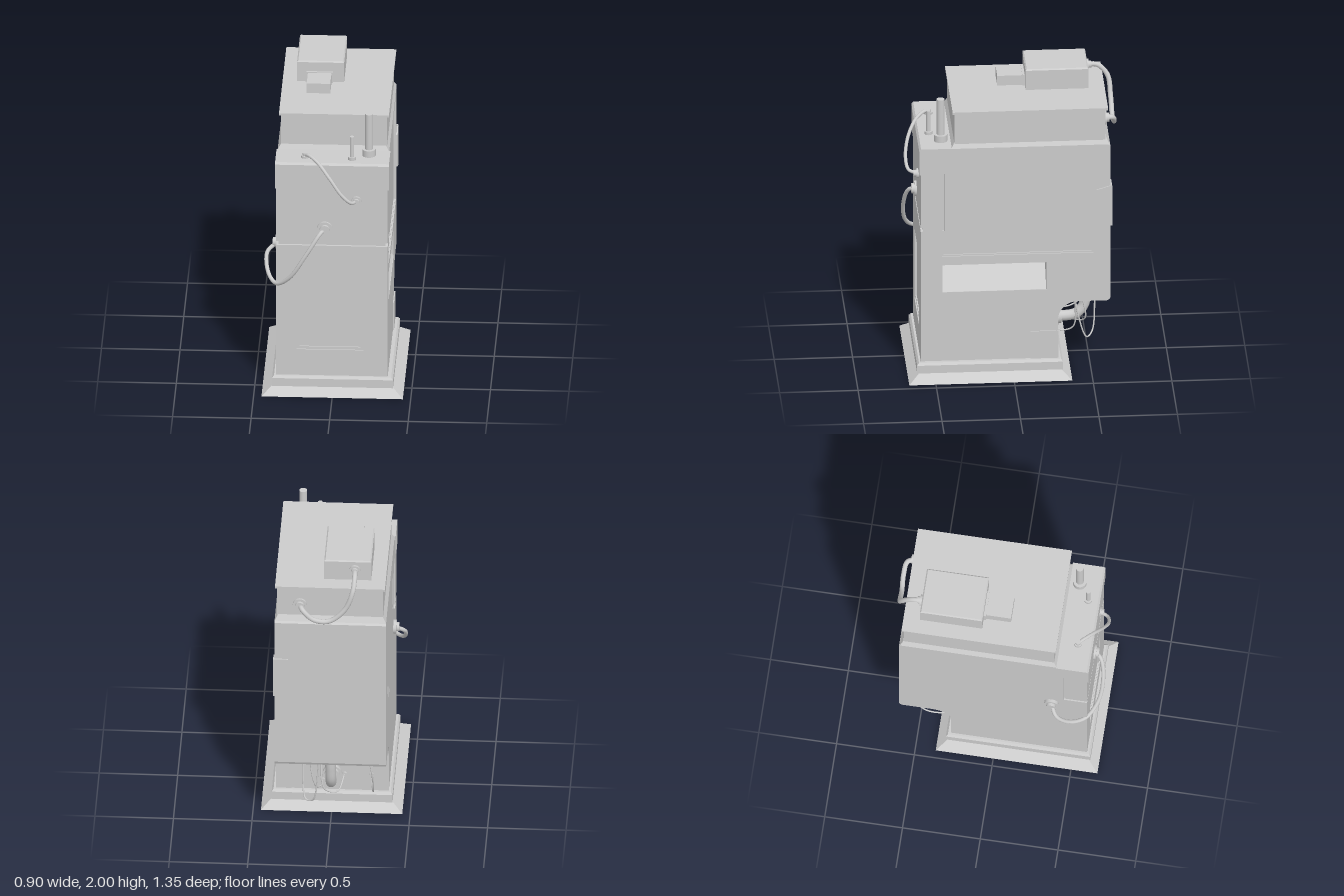
import * as THREE from 'three';

const mat = new THREE.MeshStandardMaterial({ color: 0xcccccc });

export function createModel() {
  const model = new THREE.Group();
  const add = (name, geo) => {
    const mesh = new THREE.Mesh(geo, mat);
    mesh.name = name;
    model.add(mesh);
    return mesh;
  };

  // Block from min/max corners; taper pulls the top edges inward
  const block = (name, [x0, x1], [y0, y1], [z0, z1], taper = 0) => {
    const g = new THREE.BoxGeometry(x1 - x0, y1 - y0, z1 - z0);
    const p = g.attributes.position;
    for (let i = 0; i < p.count; i++) {
      if (p.getY(i) > 0) {
        p.setX(i, p.getX(i) - Math.sign(p.getX(i)) * taper);
        p.setZ(i, p.getZ(i) - Math.sign(p.getZ(i)) * taper);
      }
    }
    g.computeVertexNormals();
    g.translate((x0 + x1) / 2, (y0 + y1) / 2, (z0 + z1) / 2);
    return add(name, g);
  };

  // Side profile of [z, y] points extruded across x, with optional holes
  const slab = (name, pts, x0, x1, holes = []) => {
    const vec = (list) => list.map(([z, y]) => new THREE.Vector2(-z, y));
    const shape = new THREE.Shape(vec(pts));
    holes.forEach((h) => shape.holes.push(new THREE.Path(vec(h))));
    const g = new THREE.ExtrudeGeometry(shape, { depth: x1 - x0, bevelEnabled: false });
    g.rotateY(Math.PI / 2).translate(x0, 0, 0);
    return add(name, g);
  };
  const rect = (a0, a1, b0, b1) => [[a0, b0], [a1, b0], [a1, b1], [a0, b1]];

  // Round rod between two points
  const rod = (name, r, from, to) => {
    const a = new THREE.Vector3(...from), b = new THREE.Vector3(...to);
    const dir = b.clone().sub(a);
    const mesh = add(name, new THREE.CylinderGeometry(r, r, dir.length(), 24));
    mesh.position.copy(a).add(b).multiplyScalar(0.5);
    mesh.quaternion.setFromUnitVectors(new THREE.Vector3(0, 1, 0), dir.normalize());
  };
  // Stepped cable socket standing on a surface
  const socket = (name, r, at, dir) => {
    const off = (d) => at.map((v, i) => v + dir[i] * d);
    rod(name + 'Flange', r, off(-0.005), off(0.014));
    rod(name + 'Collar', r * 0.65, off(0), off(0.032));
  };
  const cable = (name, r, pts) => {
    const curve = new THREE.CatmullRomCurve3(pts.map((p) => new THREE.Vector3(...p)));
    return add(name, new THREE.TubeGeometry(curve, 64, r, 12));
  };

  // Base: flared skirt and plinth
  block('skirt', [-0.45, 0.45], [0, 0.055], [-0.37, 0.67], 0.07);
  block('plinth', [-0.385, 0.385], [0.05, 0.105], [-0.315, 0.615]);
  block('plinthBevel', [-0.385, 0.385], [0.105, 0.12], [-0.315, 0.615], 0.012);

  // Cabinet profile with an overhanging rear and a rounded inner corner
  const rear = [[0.4, 1.605], [-0.605, 1.605], [-0.62, 1.59], [-0.62, 0.535], [-0.612, 0.517], [-0.595, 0.51]];
  for (let i = 0; i <= 10; i++) {
    const a = (Math.PI / 2) * (1 - i / 10);
    rear.push([-0.41 + 0.125 * Math.cos(a), 0.385 + 0.125 * Math.sin(a)]);
  }
  rear.push([-0.285, 0.12]);
  const core = [[0.575, 0.12], [0.575, 1.6], ...rear];
  // The outer skin leaves a groove around the front and a seam behind it
  const skin = [[0.575, 0.12], [0.575, 1.03], [0.44, 1.03], [0.44, 1.43], [0.445, 1.43],
    [0.445, 1.055], [0.575, 1.055], [0.575, 1.6], ...rear];

  // Recessed panels on both sides, a deep slot on the left
  const slot = rect(0.45, -0.21, 0.6, 0.79);
  const leftPanel = (d) => rect(0.455 - d, -0.51 + d, 0.85 + d, 1.575 - d);
  const rightPanel = (d) => [[0.42 - d, 0.31 + d], [0.42 - d, 1.43 - d], [-0.5 + d, 1.43 - d],
    [-0.5 + d, 0.84 + d], [-0.2 + d, 0.84 + d], [-0.2 + d, 0.31 + d]];
  slab('cabinetCore', core, -0.345, 0.2);
  slab('cabinetSlotLayer', core, 0.2, 0.335, [slot]);
  [0.01, 0].forEach((d, i) => {
    slab('leftSkin', skin, 0.335 + i * 0.0075, 0.3425 + i * 0.0075, [slot, leftPanel(d)]);
    slab('rightSkin', skin, -0.3525 - i * 0.0075, -0.345 - i * 0.0075, [rightPanel(d)]);
  });

  // Sloping floor of the slot
  const ramp = new THREE.Shape([[0.2, 0.6], [0.345, 0.6], [0.2, 0.765]].map((p) => new THREE.Vector2(...p)));
  add('slotRamp', new THREE.ExtrudeGeometry(ramp, { depth: 0.66, bevelEnabled: false }).translate(0, 0, -0.21));

  // Front face: framed lower door, plain upper plate
  [0.018, 0].forEach((d, i) => {
    const s = new THREE.Shape(rect(-0.36, 0.35, 0.12, 1.03).map((p) => new THREE.Vector2(...p)));
    s.holes.push(new THREE.Path(rect(-0.23 + d, 0.195 - d, 0.3 + d, 0.79 - d).map((p) => new THREE.Vector2(...p))));
    add('frontDoorFrame', new THREE.ExtrudeGeometry(s, { depth: 0.0075, bevelEnabled: false })
      .translate(0, 0, 0.575 + i * 0.0075));
  });
  block('frontUpperPlate', [-0.36, 0.35], [1.055, 1.6], [0.57, 0.59]);
  slab('frontCap', [[0.6, 1.43], [0.6, 1.597], [0.588, 1.61], [0.39, 1.61], [0.39, 1.583],
    [0.47, 1.583], [0.47, 1.43]], -0.367, 0.358);

  // Shoulder, upper box and lid
  block('shoulder', [-0.36, 0.35], [1.605, 1.64], [-0.615, 0.395], 0.02);
  block('upperBox', [-0.34, 0.335], [1.63, 1.845], [-0.59, 0.375]);
  block('lid', [-0.352, 0.348], [1.843, 1.858], [-0.605, 0.386]);

  // Motor housing on the lid
  block('topHousing', [-0.26, 0.04], [1.855, 1.992], [-0.5, -0.1]);
  block('topHousingEdge', [-0.26, 0.04], [1.992, 2], [-0.5, -0.1], 0.008);
  block('topHousingCollar', [-0.2, -0.03], [1.855, 1.93], [-0.105, -0.085]);
  block('topHousingNose', [-0.19, -0.04], [1.855, 1.925], [-0.1, 0.075]);

  // Corner plates: wrapped bracket at the rear, patch near the base
  slab('sideBracket', [[-0.53, 1.07], [-0.53, 1.29], [-0.628, 1.32], [-0.628, 1.04]], 0.345, 0.36);
  block('rearBracket', [0.265, 0.36], [1.04, 1.32], [-0.63, -0.615]);
  block('cornerPatch', [0.26, 0.357], [0.12, 0.31], [-0.288, -0.11]);

  // Vent pipes on the front cap
  [[0.225, 0.455, 0.043, 0.045, 0.025, 1.9], [0.12, 0.525, 0.025, 0.02, 0.014, 1.77]]
    .forEach(([x, z, r, h, r2, top]) => {
      rod('ventBase', r, [x, 1.605, z], [x, 1.61 + h, z]);
      rod('ventPipe', r2, [x, 1.61, z], [x, top, z]);
    });

  // Front cables
  socket('capSocket', 0.026, [-0.18, 1.61, 0.505], [0, 1, 0]);
  socket('frontUpperSocket', 0.032, [0.15, 1.35, 0.59], [0, 0, 1]);
  cable('frontUpperCable', 0.011, [[-0.18, 1.61, 0.505], [-0.165, 1.635, 0.525], [-0.1, 1.615, 0.588],
    [-0.02, 1.53, 0.645], [0.06, 1.42, 0.667], [0.12, 1.36, 0.65], [0.15, 1.35, 0.595]]);
  socket('frontLowerSocket', 0.05, [-0.05, 1.15, 0.59], [0, 0, 1]);
  socket('rightSideSocket', 0.045, [-0.36, 0.945, 0.36], [-1, 0, 0]);
  cable('frontLowerCable', 0.013, [[-0.05, 1.15, 0.59], [-0.08, 1.13, 0.635], [-0.17, 0.99, 0.665],
    [-0.27, 0.83, 0.645], [-0.36, 0.755, 0.58], [-0.415, 0.79, 0.49], [-0.425, 0.89, 0.4], [-0.36, 0.945, 0.36]]);

  // Rear upper cable
  socket('housingSocket', 0.035, [-0.155, 1.935, -0.5], [0, 0, -1]);
  socket('upperBoxSocket', 0.045, [0.19, 1.72, -0.59], [0, 0, -1]);
  cable('rearUpperCable', 0.016, [[-0.155, 1.935, -0.5], [-0.158, 1.93, -0.57], [-0.15, 1.86, -0.635],
    [-0.1, 1.73, -0.652], [0, 1.64, -0.655], [0.1, 1.65, -0.66], [0.17, 1.71, -0.645], [0.19, 1.72, -0.59]]);

  // Drain pipe below the overhang
  rod('drainTopFlange', 0.06, [0, 0.515, -0.49], [0, 0.49, -0.49]);
  rod('drainTopCollar', 0.048, [0, 0.5, -0.49], [0, 0.47, -0.49]);
  rod('drainWallFlange', 0.06, [0, 0.25, -0.28], [0, 0.25, -0.31]);
  rod('drainWallCollar', 0.048, [0, 0.25, -0.3], [0, 0.25, -0.33]);
  cable('drainPipe', 0.034, [[0, 0.51, -0.49], [0, 0.41, -0.487], [0, 0.32, -0.472],
    [0, 0.265, -0.425], [0, 0.25, -0.36], [0, 0.25, -0.28]]);

  // Loose wires hanging below the overhang
  [
    [[0.17, 0.515, -0.4], [0.18, 0.36, -0.42], [0.16, 0.17, -0.48], [0.11, 0.19, -0.52], [0.07, 0.515, -0.54]],
    [[0.12, 0.515, -0.39], [0.13, 0.38, -0.41], [0.1, 0.22, -0.4], [0.07, 0.18, -0.34], [0.06, 0.19, -0.28]],
    [[-0.25, 0.515, -0.54], [-0.27, 0.37, -0.53], [-0.27, 0.22, -0.45], [-0.26, 0.19, -0.36], [-0.25, 0.24, -0.28]],
    [[0.05, 0.515, -0.43], [0.06, 0.4, -0.46], [0.04, 0.25, -0.48], [-0.04, 0.2, -0.43], [-0.08, 0.24, -0.28]],
  ].forEach((pts) => cable('looseWire', 0.005, pts));
  [[-0.25, 0.24], [0.06, 0.19], [-0.08, 0.24]].forEach(([x, y]) => rod('wirePlug', 0.015, [x, y, -0.28], [x, y, -0.297]));

  return model;
}
